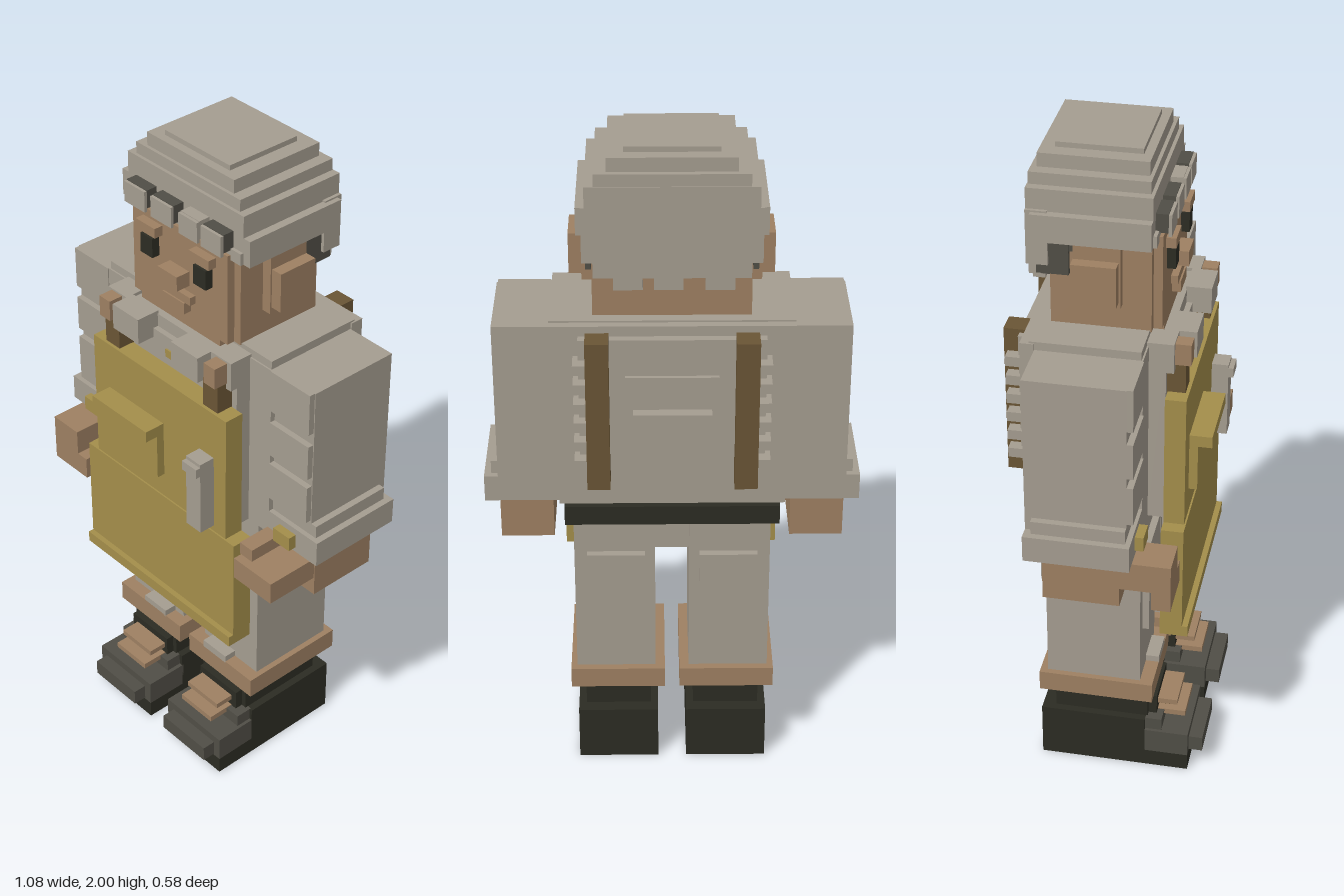
import * as THREE from 'three';

const mat = (name, color) => {
  const m = new THREE.MeshStandardMaterial({ color });
  m.name = name;
  return m;
};

export function createModel() {
  const root = new THREE.Group();
  root.name = 'blockWorker';
  const grey = mat('clothGrey', 0xa59d90);
  const skin = mat('skinTan', 0x9e8062);
  const yellow = mat('apronYellow', 0xa48e4b);
  const black = mat('bootBlack', 0x2c2c23);
  const charcoal = mat('charcoal', 0x504e46);
  const brown = mat('leatherBrown', 0x6a5535);

  // Box from min/max on each axis
  const box = (name, m, x0, x1, y0, y1, z0, z1, parent = root) => {
    const mesh = new THREE.Mesh(new THREE.BoxGeometry(x1 - x0, y1 - y0, z1 - z0), m);
    mesh.position.set((x0 + x1) / 2, (y0 + y1) / 2, (z0 + z1) / 2);
    mesh.name = name;
    parent.add(mesh);
  };
  // Box centred on x
  const mid = (name, m, hw, ...r) => box(name, m, -hw, hw, ...r);
  // Mirrored pair, given on the +x side
  const pair = (name, m, x0, x1, ...r) => {
    box(name + 'Left', m, x0, x1, ...r);
    box(name + 'Right', m, -x1, -x0, ...r);
  };

  // Head
  mid('head', skin, 0.22, 1.5, 1.8, -0.165, 0.115);
  mid('face', skin, 0.195, 1.5, 1.78, 0.115, 0.14);
  mid('chin', skin, 0.165, 1.45, 1.53, -0.14, 0.14);
  pair('ear', skin, 0.22, 0.25, 1.58, 1.76, -0.095, 0.035);
  pair('earRim', skin, 0.25, 0.285, 1.6, 1.72, -0.095, 0.03);
  pair('eye', black, 0.085, 0.135, 1.655, 1.715, 0.14, 0.165);
  pair('brow', skin, 0.07, 0.15, 1.725, 1.755, 0.14, 0.168);
  mid('nose', skin, 0.04, 1.615, 1.66, 0.14, 0.185);
  mid('upperLip', skin, 0.065, 1.57, 1.595, 0.14, 0.16);
  mid('mouth', skin, 0.045, 1.535, 1.57, 0.14, 0.165);

  // Stepped hair: half width, bottom, top, back, front
  [
    [0.13, 1.98, 2.0, -0.165, 0.075],
    [0.175, 1.94, 1.985, -0.205, 0.1],
    [0.21, 1.91, 1.945, -0.222, 0.11],
    [0.235, 1.84, 1.91, -0.225, 0.12],
    [0.26, 1.765, 1.845, -0.21, 0.12],
  ].forEach((r, i) => mid('hairLayer' + i, grey, ...r));
  mid('hairBack', grey, 0.245, 1.69, 1.85, -0.225, -0.165);
  mid('hairBackLower', grey, 0.215, 1.645, 1.69, -0.225, -0.19);
  [-0.17, -0.03, 0.08].forEach((x) => box('hairTip', grey, x, x + 0.08, 1.61, 1.65, -0.225, -0.19));
  mid('underHair', charcoal, 0.21, 1.645, 1.76, -0.2, -0.16);
  pair('sideburn', charcoal, 0.22, 0.235, 1.66, 1.765, -0.2, -0.11);
  pair('templeHair', charcoal, 0.22, 0.23, 1.73, 1.765, -0.11, -0.06);
  mid('fringeBand', grey, 0.235, 1.765, 1.8, 0.1, 0.13);
  [[-0.2, -0.115], [-0.09, -0.005], [0.025, 0.1], [0.115, 0.195]].forEach(([a, b], i) => {
    box('fringeLock', i === 2 ? grey : charcoal, a, b, 1.795, 1.85, 0.12, 0.155);
    box('fringeFront', grey, a, b, 1.785, 1.848, 0.155, 0.164);
  });

  // Torso and collar
  mid('torso', grey, 0.345, 0.92, 1.48, -0.185, 0.115);
  mid('shirtFront', grey, 0.26, 0.92, 1.48, 0.115, 0.163);
  mid('backPanel', grey, 0.345, 1.02, 1.5, -0.225, -0.185);
  mid('lowerBack', grey, 0.325, 0.92, 1.02, -0.205, -0.185);
  mid('backYoke', grey, 0.26, 1.1, 1.47, -0.25, -0.225);
  mid('shoulderYoke', grey, 0.34, 1.46, 1.505, -0.2, 0.11);
  mid('backPocket', grey, 0.13, 1.2, 1.36, -0.262, -0.25);
  mid('backPocketLedge', grey, 0.11, 1.22, 1.26, -0.295, -0.26);
  pair('collar', grey, 0.07, 0.18, 1.41, 1.49, 0.16, 0.235);
  pair('collarSide', grey, 0.18, 0.26, 1.4, 1.49, 0.11, 0.185);
  mid('collarMiddle', grey, 0.07, 1.4, 1.44, 0.16, 0.18);
  mid('shirtButton', yellow, 0.02, 1.37, 1.395, 0.16, 0.18);
  mid('belt', black, 0.31, 0.86, 0.92, -0.225, -0.14);

  // Straps with stitched edge
  pair('frontStrap', brown, 0.18, 0.24, 1.31, 1.42, 0.163, 0.215);
  pair('strapTop', skin, 0.2, 0.245, 1.42, 1.485, 0.163, 0.23);
  pair('backStrap', brown, 0.175, 0.24, 1.02, 1.48, -0.295, -0.225);
  for (let i = 0; i < 6; i++) {
    const y = 1.08 + i * 0.06;
    pair('strapStitch', grey, 0.24, 0.275, y, y + 0.03, -0.285, -0.225);
  }

  // Apron, pocket and tool
  mid('apronBib', yellow, 0.285, 0.92, 1.33, 0.165, 0.225);
  mid('apronSkirt', yellow, 0.325, 0.55, 0.92, 0.165, 0.23);
  mid('apronHem', yellow, 0.325, 0.55, 0.585, 0.165, 0.247);
  box('apronPocket', yellow, -0.22, 0.02, 1.0, 1.15, 0.22, 0.25);
  box('pocketFlap', yellow, -0.22, 0.02, 1.145, 1.18, 0.22, 0.29);
  box('pocketTool', grey, 0.175, 0.235, 0.94, 1.18, 0.22, 0.275);
  box('toolClip', grey, 0.175, 0.235, 1.14, 1.17, 0.275, 0.29);

  // Sleeves with folds, cuffs and hands
  pair('sleeve', grey, 0.34, 0.5, 0.92, 1.48, -0.185, 0.1);
  [[1.35, 1.48], [1.2, 1.31], [1.05, 1.17]].forEach(([a, b]) =>
    pair('sleeveFold', grey, 0.345, 0.497, a, b, 0.1, 0.118));
  pair('cuffUpper', grey, 0.3, 0.52, 1.0, 1.04, -0.165, 0.1);
  pair('cuff', grey, 0.285, 0.54, 0.92, 1.0, -0.185, 0.115);
  pair('cuffButton', yellow, 0.39, 0.455, 0.935, 0.98, 0.11, 0.14);
  pair('palm', skin, 0.345, 0.5, 0.77, 0.92, -0.14, 0.08);
  box('leftFingers', skin, 0.345, 0.497, 0.83, 0.9, 0.08, 0.247);
  box('leftThumb', skin, 0.34, 0.39, 0.9, 0.94, 0.08, 0.22);
  box('rightFingers', skin, -0.5, -0.39, 0.83, 0.92, 0.08, 0.225);
  box('rightFingerTips', skin, -0.5, -0.35, 0.77, 0.84, 0.17, 0.225);

  // Trousers
  mid('hips', grey, 0.285, 0.72, 0.92, -0.13, 0.1);
  pair('leg', grey, 0.05, 0.287, 0.32, 0.92, -0.182, 0.1);
  pair('kneePatch', grey, 0.07, 0.25, 0.5, 0.8, 0.1, 0.12);
  pair('seatPocket', grey, 0.08, 0.25, 0.64, 0.74, -0.205, -0.18);
  pair('trouserCuff', skin, 0.022, 0.305, 0.265, 0.33, -0.205, 0.14);
  pair('trouserFold', grey, 0.09, 0.19, 0.325, 0.35, 0.1, 0.14);

  // Boots and laces
  pair('bootShaft', black, 0.065, 0.262, 0.16, 0.27, -0.165, 0.12);
  pair('bootHeel', black, 0.043, 0.285, 0, 0.175, -0.205, 0.115);
  pair('bootSole', black, 0.043, 0.285, 0, 0.055, 0.11, 0.248);
  pair('bootToe', charcoal, 0.043, 0.285, 0.055, 0.135, 0.11, 0.248);
  pair('bootInstep', charcoal, 0.055, 0.275, 0.135, 0.175, 0.11, 0.165);
  pair('toeCap', charcoal, 0.07, 0.26, 0.06, 0.11, 0.248, 0.29);
  pair('bootTongue', black, 0.08, 0.245, 0.135, 0.24, 0.115, 0.145);
  pair('lowerLace', skin, 0.09, 0.225, 0.16, 0.178, 0.14, 0.23);
  pair('upperLace', skin, 0.09, 0.225, 0.2, 0.217, 0.12, 0.205);
  pair('laceKnot', brown, 0.12, 0.2, 0.175, 0.202, 0.14, 0.185);

  return root;
}
